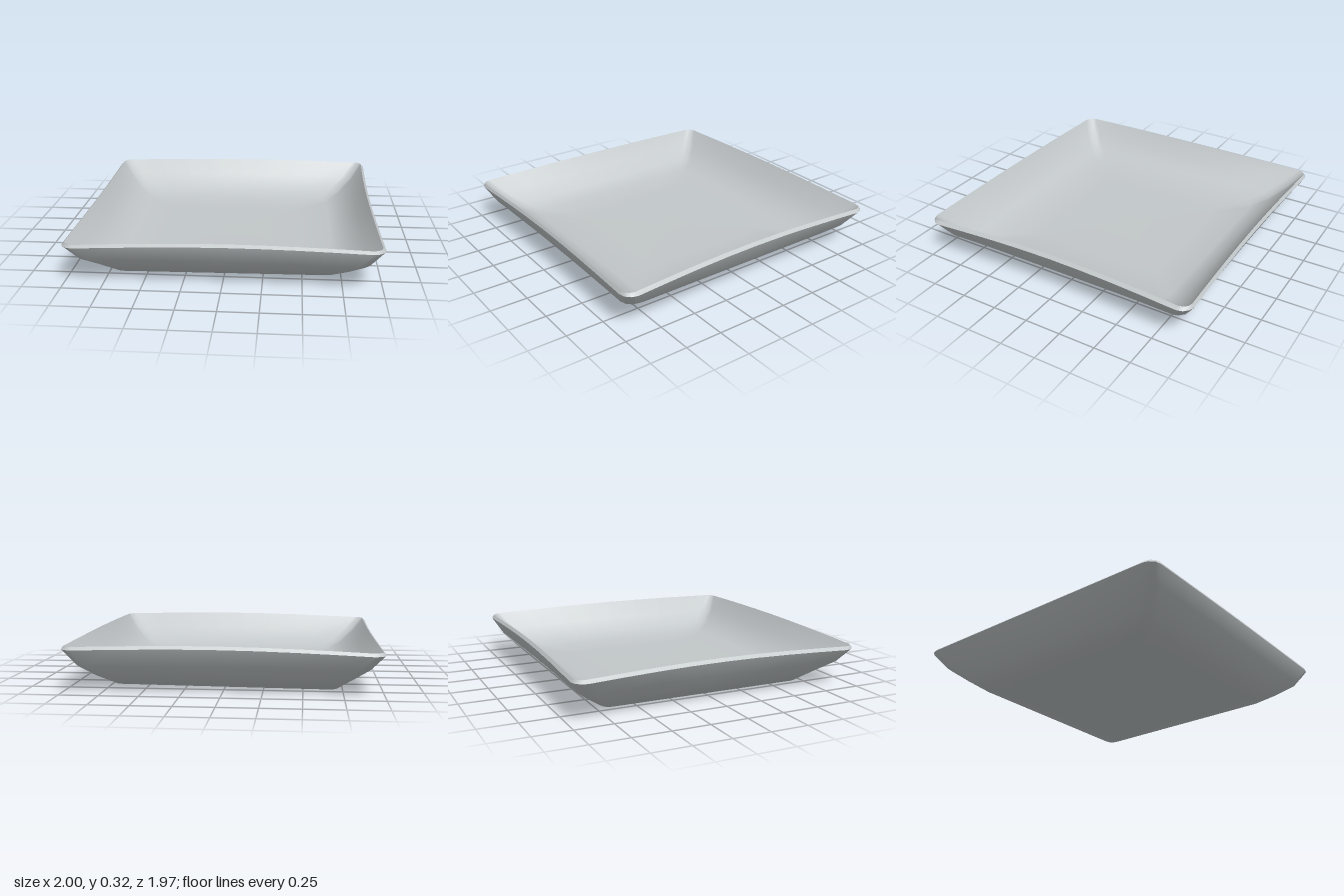
import * as THREE from 'three';

const SIDE_STEPS = 8;
const CORNER_STEPS = 3;

// One rounded-square loop: [left, right, back, front, height, corner radius, bow, lean]
// bow (0..1) pinches the side middles inward and lifts them, as on the rim;
// lean is the rise in height per unit of x.
function ringPoints([x0, x1, z0, z1, y, r, bow = 0, lean = 0]) {
  const corners = [
    [x1 - r, z1 - r, 0], [x0 + r, z1 - r, 1], [x0 + r, z0 + r, 2], [x1 - r, z0 + r, 3],
  ];
  const pts = [];
  corners.forEach(([cx, cz, q], k) => {
    for (let i = 0; i <= CORNER_STEPS; i++) {
      const a = (q + i / CORNER_STEPS) * Math.PI / 2;
      pts.push([cx + r * Math.cos(a), y, cz + r * Math.sin(a)]);
    }
    // straight run to the start of the next corner
    const end = pts[pts.length - 1];
    const [nx, nz, nq] = corners[(k + 1) % 4];
    const a = nq * Math.PI / 2;
    const sx = nx + r * Math.cos(a), sz = nz + r * Math.sin(a);
    for (let i = 1; i < SIDE_STEPS; i++) {
      const t = i / SIDE_STEPS;
      const s = Math.sin(t * Math.PI) * bow;
      pts.push([
        (end[0] + (sx - end[0]) * t) - 0.025 * s * Math.cos(a),
        y + 0.02 * s,
        (end[2] + (sz - end[2]) * t) - 0.012 * s * Math.sin(a),
      ]);
    }
  });
  return pts.map(([x, h, z]) => [x, h + lean * x, z]);
}

function loft(name, rings, material) {
  const loops = rings.map(ringPoints);
  const n = loops[0].length;
  const index = [];
  for (let i = 0; i < loops.length - 1; i++) {
    for (let j = 0; j < n; j++) {
      const a = i * n + j, b = i * n + (j + 1) % n;
      index.push(a, a + n, b, b, a + n, b + n);
    }
  }
  const geo = new THREE.BufferGeometry();
  geo.setAttribute('position', new THREE.Float32BufferAttribute(loops.flat(2), 3));
  geo.setIndex(index);
  geo.computeVertexNormals();
  const mesh = new THREE.Mesh(geo, material);
  mesh.name = name;
  return mesh;
}

export function createModel() {
  const group = new THREE.Group();
  group.name = 'squareDish';
  const glaze = new THREE.MeshStandardMaterial({ color: 0xc2c7c9 });
  glaze.name = 'paleGreyGlaze';

  // shared edge between the outside and the lip
  const outerEdge = [-1, 1, -0.985, 0.985, 0.268, 0.08, 1, 0.008];
  const innerEdge = [-0.98, 0.98, -0.97, 0.975, 0.288, 0.06, 1, 0.008];

  group.add(
    // slightly hollow underside with a small boss, running into the flared outside
    loft('outside', [
      [0, 0, 0, 0, 0, 0],
      [-0.19, 0.19, -0.19, 0.19, 0, 0.03],
      [-0.28, 0.28, -0.28, 0.28, 0.025, 0.03],
      [-0.5, 0.5, -0.5, 0.5, 0.025, 0.04],
      [-0.72, 0.72, -0.71, 0.72, 0.012, 0.06, 0, 0.01],
      [-0.82, 0.82, -0.82, 0.82, 0.085, 0.07],
      [-0.92, 0.92, -0.92, 0.93, 0.165, 0.08, 0.4],
      outerEdge,
    ], glaze),
    // thin lip
    loft('rim', [outerEdge, innerEdge], glaze),
    // inside wall following the outside, down to a wide floor
    loft('dishInside', [
      innerEdge,
      [-0.9, 0.9, -0.89, 0.9, 0.19, 0.07, 0.4],
      [-0.8, 0.8, -0.79, 0.8, 0.11, 0.07],
      [-0.7, 0.7, -0.68, 0.69, 0.06, 0.06],
      [-0.45, 0.45, -0.45, 0.45, 0.055, 0.05],
      [0, 0, 0, 0, 0.055, 0],
    ], glaze),
  );
  return group;
}
